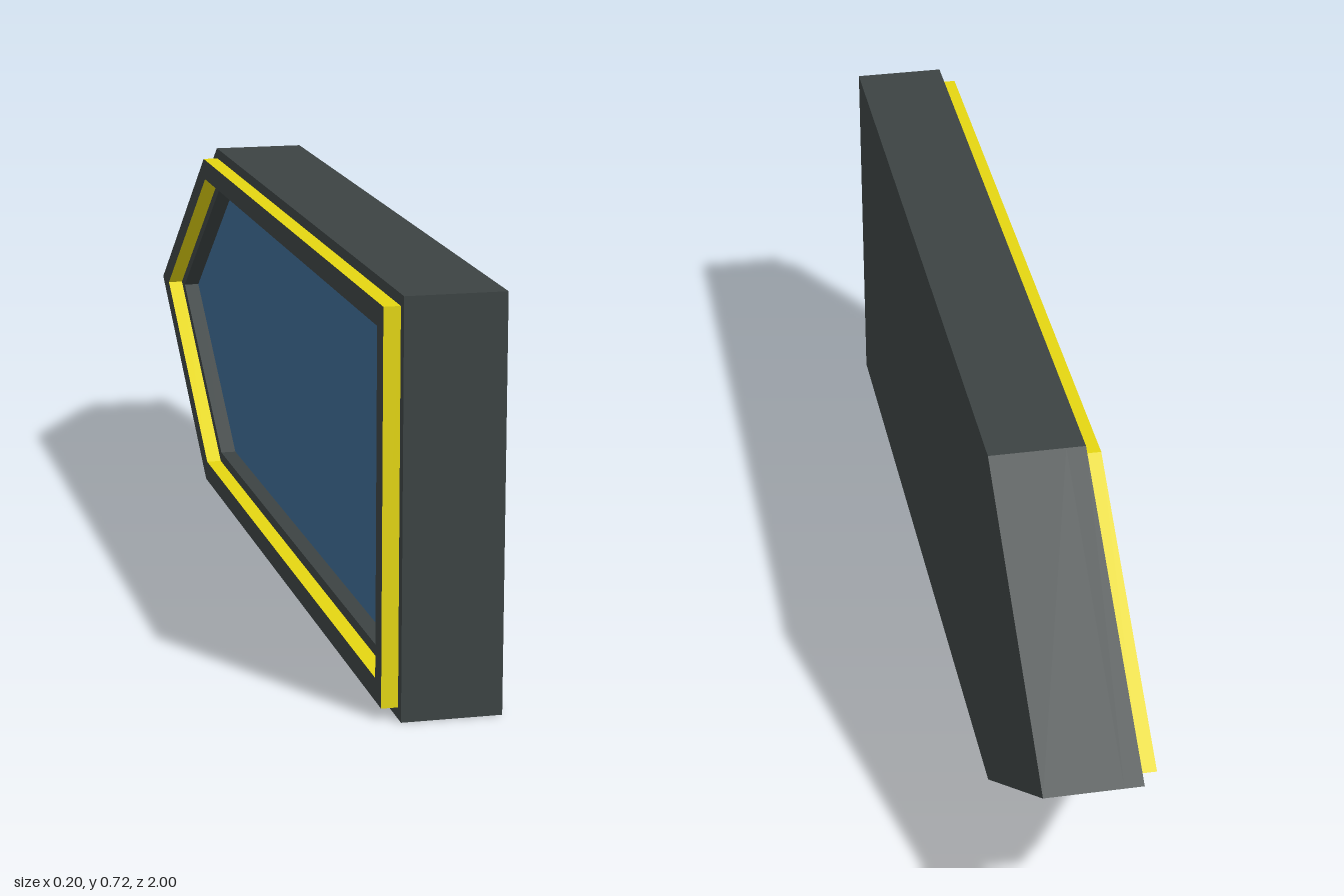
import * as THREE from 'three';

const HALF_HEIGHT = 0.36, SHOULDER = -0.5, TIP = -1, END = 1;

// Pointed outline in the (z, y) plane, shrunk evenly by an inset.
function outline(inset) {
  const angle = Math.atan2(HALF_HEIGHT, SHOULDER - TIP);
  const shoulder = SHOULDER + inset * Math.tan(angle / 2);
  const tip = TIP + inset / Math.sin(angle);
  const h = HALF_HEIGHT - inset;
  return [[END - inset, -h], [END - inset, h], [shoulder, h], [tip, 0], [shoulder, -h]]
    .map(([z, y]) => new THREE.Vector2(z, y + HALF_HEIGHT));
}

// Layer of the sign from x = from towards -x, with an optional opening.
function layer(name, materials, from, to, inset, holeInset) {
  const shape = new THREE.Shape(outline(inset));
  if (holeInset !== undefined) shape.holes.push(new THREE.Path(outline(holeInset)));
  const geometry = new THREE.ExtrudeGeometry(shape, { depth: from - to, bevelEnabled: false });
  geometry.rotateY(-Math.PI / 2);
  geometry.translate(from, 0, 0);
  const mesh = new THREE.Mesh(geometry, materials);
  mesh.name = name;
  return mesh;
}

export function createModel() {
  const dark = new THREE.MeshStandardMaterial({ name: 'dark grey', color: 0x3c4343 });
  const yellow = new THREE.MeshStandardMaterial({ name: 'yellow', color: 0xe4d612 });
  const blue = new THREE.MeshStandardMaterial({ name: 'panel blue', color: 0x3d6a92 });

  const group = new THREE.Group();
  group.name = 'pointedPanel';
  group.add(
    // Solid casing and the rim around the recess
    layer('casing', dark, 0.101, -0.038, 0),
    layer('rim', dark, -0.038, -0.073, 0, 0.08),
    // Thin blue panel on the floor of the recess
    layer('panel', blue, -0.038, -0.043, 0.08),
    // Raised band: dark face, yellow inner and outer walls
    layer('raisedBand', [dark, yellow], -0.073, -0.102, 0.02, 0.06),
  );
  return group;
}
